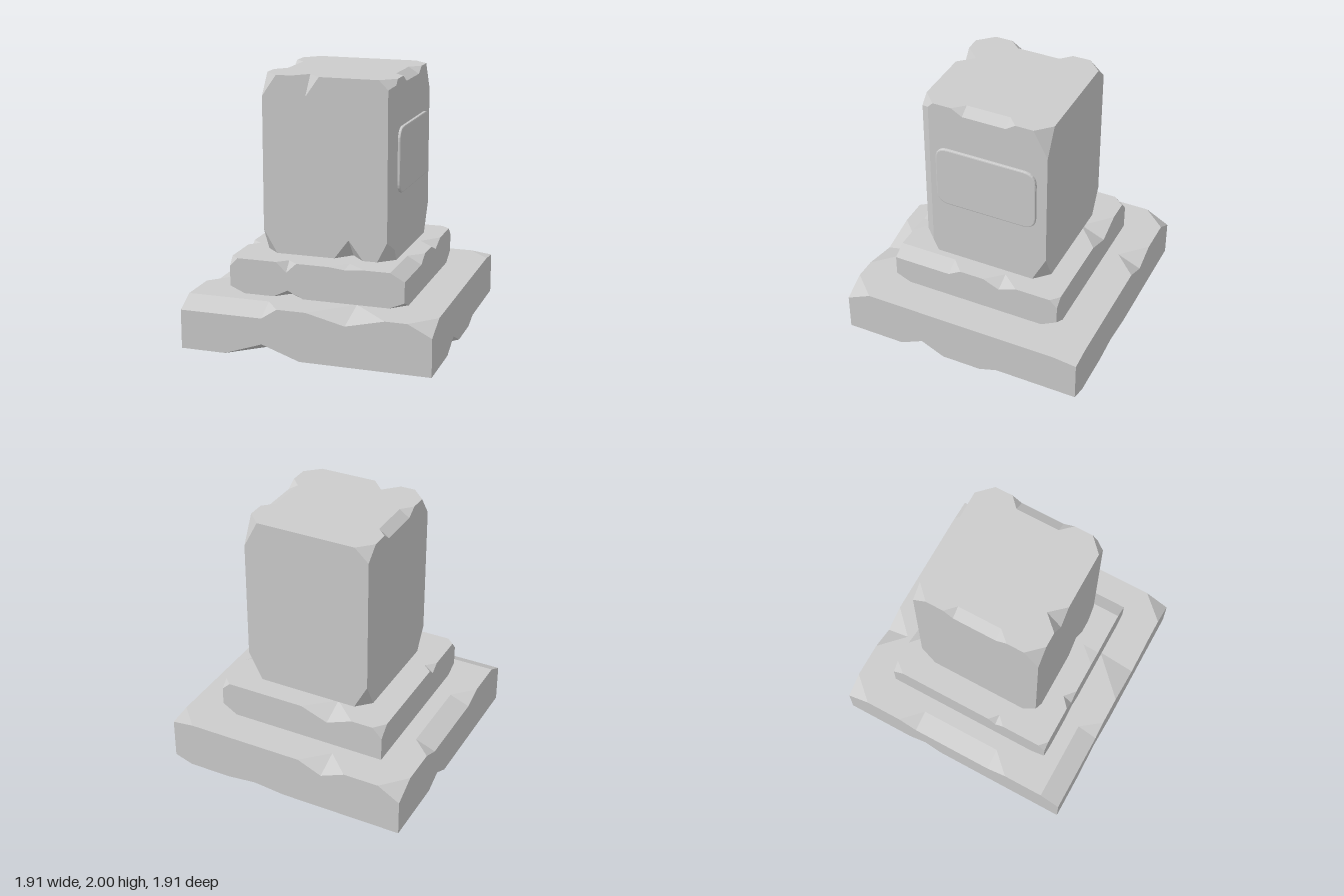
import * as THREE from 'three';

const stone = new THREE.MeshStandardMaterial({ color: 0xcccccc, flatShading: true });
const V = (a) => new THREE.Vector3(...a);

// Part of a convex polygon on the positive side of a plane
function clip(poly, plane) {
  const out = [];
  poly.forEach((p, i) => {
    const q = poly[(i + 1) % poly.length];
    const dp = plane.distanceToPoint(p), dq = plane.distanceToPoint(q);
    if (dp >= 0) out.push(p);
    if (dp * dq < 0) out.push(p.clone().lerp(q, dp / (dp - dq)));
  });
  return out.length > 2 ? out : [];
}
const clipAll = (poly, planes) => planes.reduce((p, pl) => (p.length ? clip(p, pl) : p), poly);

// Remove a convex region from a list of polygons
function subtract(polys, planes) {
  return polys.flatMap((poly) => {
    if (!clipAll(poly, planes).length) return [poly];
    const kept = [];
    let rest = poly;
    for (const pl of planes) {
      const outside = clip(rest, pl.clone().negate());
      if (outside.length) kept.push(outside);
      rest = clip(rest, pl);
    }
    return kept;
  });
}

// Large square lying on a plane, counter-clockwise about its normal
function sheet(plane) {
  const n = plane.normal, c = plane.coplanarPoint(V([0, 0, 0]));
  const u = (Math.abs(n.y) < 0.9 ? V([0, 1, 0]) : V([1, 0, 0])).cross(n).normalize();
  const v = n.clone().cross(u);
  return [[-5, -5], [5, -5], [5, 5], [-5, 5]].map(([a, b]) =>
    c.clone().addScaledVector(u, a).addScaledVector(v, b));
}

function planeThrough(a, b, c, inside) {
  const pl = new THREE.Plane().setFromCoplanarPoints(a, b, c);
  return pl.distanceToPoint(inside) < 0 ? pl.negate() : pl;
}

// Corner chip: side = signs of the corner, cut = length removed along each axis
const corner = (side, cut) => (min, max) => {
  const c = side.map((s, i) => (s > 0 ? max[i] : min[i]));
  const pts = [0, 1, 2].map((k) => V(c.map((x, i) => (i === k ? x - side[i] * cut[i] : x))));
  return [planeThrough(...pts, V(c))];
};

// Edge chip: side has 0 on the axis the edge runs along; cut = depth into both faces;
// it starts at a, is at full depth from t1 to t2, and ends at b
const notch = (side, cut, a, t1, t2, b) => (min, max) => {
  const k = side.indexOf(0), i = (k + 1) % 3, j = (k + 2) % 3;
  const at = (t, di, dj) => {
    const p = side.map((s, m) => (s > 0 ? max[m] : min[m]));
    p[k] = t;
    p[i] -= side[i] * cut[i] * di;
    p[j] -= side[j] * cut[j] * dj;
    return V(p);
  };
  const mid = at((t1 + t2) / 2, 0, 0);
  const planes = [
    planeThrough(at(a, 0, 0), at(t1, 1, 0), at(t1, 0, 1), mid),
    planeThrough(at(b, 0, 0), at(t2, 1, 0), at(t2, 0, 1), mid),
  ];
  if (t1 !== t2) planes.push(planeThrough(at(t1, 1, 0), at(t2, 1, 0), at(t1, 0, 1), mid));
  return planes;
};

// Box from min to max with all chips taken out
function chippedBlock(name, min, max, chips) {
  const walls = [0, 1, 2].flatMap((k) => [1, -1].map((s) => {
    const n = [0, 0, 0];
    n[k] = s;
    return new THREE.Plane(V(n), s > 0 ? -min[k] : max[k]);
  }));
  const cuts = chips.map((chip) => chip(min, max));
  const others = (list, x) => list.filter((y) => y !== x);
  let polys = walls.map((w) => clipAll(sheet(w), others(walls, w)).reverse());
  for (const c of cuts) polys = subtract(polys, c);
  for (const c of cuts) {
    for (const pl of c) {
      let faces = [clipAll(sheet(pl), [...others(c, pl), ...walls])].filter((f) => f.length);
      for (const o of others(cuts, c)) faces = subtract(faces, o);
      polys.push(...faces);
    }
  }
  const pts = polys.flatMap((p) => p.slice(2).flatMap((_, i) => [p[0], p[i + 1], p[i + 2]]));
  const geo = new THREE.BufferGeometry().setFromPoints(pts);
  geo.computeVertexNormals();
  const mesh = new THREE.Mesh(geo, stone);
  mesh.name = name;
  return mesh;
}

// Raised panel with rounded corners, facing +x
function plaque() {
  const w = 0.39, h = 0.237, r = 0.09;
  const s = new THREE.Shape();
  s.moveTo(-w + r, -h).lineTo(w - r, -h).quadraticCurveTo(w, -h, w, -h + r);
  s.lineTo(w, h - r).quadraticCurveTo(w, h, w - r, h);
  s.lineTo(-w + r, h).quadraticCurveTo(-w, h, -w, h - r);
  s.lineTo(-w, -h + r).quadraticCurveTo(-w, -h, -w + r, -h);
  const geo = new THREE.ExtrudeGeometry(s, {
    depth: 0.03, bevelThickness: 0.008, bevelSize: 0.01, bevelSegments: 2, curveSegments: 6,
  });
  geo.rotateY(Math.PI / 2).translate(0.508, 1.392, -0.033);
  const mesh = new THREE.Mesh(geo, stone);
  mesh.name = 'plaque';
  return mesh;
}

export function createModel() {
  const group = new THREE.Group();
  group.name = 'stonePedestal';

  // Wide bottom step
  group.add(chippedBlock('baseSlab', [-0.955, 0, -0.955], [0.955, 0.378, 0.955], [
    notch([0, 1, 1], [0, 0.08, 0.157], -3, -2, -0.32, -0.2),
    notch([0, 1, 1], [0, 0.07, 0.29], 0.02, 0.315, 0.315, 0.61),
    notch([0, -1, 1], [0, 0.1, 0.25], -0.61, -0.32, -0.32, -0.03),
    notch([0, 1, -1], [0, 0.08, 0.185], -0.51, -0.32, -0.32, -0.13),
    notch([0, -1, -1], [0, 0.025, 0.1], 0, 0.25, 0.25, 0.48),
    notch([-1, 1, 0], [0.155, 0.06, 0], -0.48, -0.33, 0.32, 0.48),
    notch([-1, -1, 0], [0.12, 0.07, 0], -0.41, -0.26, -0.26, -0.12),
    notch([1, -1, 0], [0.15, 0.087, 0], 0.14, 0.32, 0.32, 0.5),
    notch([1, -1, 0], [0.14, 0.047, 0], -3, -2, -0.31, -0.17),
    corner([1, 1, 1], [0.18, 0.09, 0.19]),
    corner([-1, 1, -1], [0.17, 0.1, 0.185]),
    corner([1, 1, -1], [0.17, 0.02, 0.18]),
  ]));

  // Middle step
  group.add(chippedBlock('middleSlab', [-0.675, 0.378, -0.675], [0.675, 0.645, 0.675], [
    notch([1, 1, 0], [0.11, 0.06, 0], 0.12, 0.22, 2, 3),
    notch([1, 1, 0], [0.12, 0.055, 0], -0.34, -0.2, -0.2, -0.07),
    notch([0, 1, 1], [0, 0.075, 0.07], -0.31, -0.23, -0.23, -0.15),
    notch([0, 1, 1], [0, 0.012, 0.13], 0.1, 0.22, 0.22, 0.38),
    notch([0, -1, 1], [0, 0.055, 0.1], -0.33, -0.22, -0.22, -0.1),
    notch([0, 1, -1], [0, 0.08, 0.19], -0.43, -0.225, -0.225, -0.01),
    notch([-1, 1, 0], [0.07, 0.05, 0], 0.18, 0.24, 0.24, 0.31),
    corner([-1, 1, 1], [0.06, 0.065, 0.055]),
    corner([-1, 1, -1], [0.075, 0.08, 0.09]),
    corner([1, 1, -1], [0.065, 0.06, 0.06]),
    corner([-1, -1, 1], [0.115, 0.05, 0.115]),
    corner([1, -1, 1], [0.115, 0.05, 0.115]),
    corner([1, -1, -1], [0.115, 0.07, 0.125]),
  ]));

  // Upright block
  group.add(chippedBlock('pillar', [-0.475, 0.655, -0.513], [0.525, 2, 0.485], [
    notch([1, 0, 1], [0.04, 0, 0.065], -3, -2, 4, 5),
    notch([0, 1, 1], [0, 0.15, 0.115], -0.25, -0.14, -0.14, -0.035),
    notch([0, -1, 1], [0, 0.147, 0.12], 0.08, 0.19, 0.19, 0.3),
    notch([1, 1, 0], [0.08, 0.05, 0], -0.265, -0.19, 0.15, 0.235),
    notch([-1, 1, 0], [0.078, 0.055, 0], -0.265, -0.19, 0.15, 0.235),
    corner([1, 1, 1], [0.11, 0.11, 0.105]),
    corner([-1, 1, 1], [0.11, 0.16, 0.115]),
    corner([1, 1, -1], [0.11, 0.21, 0.11]),
    corner([-1, 1, -1], [0.11, 0.1, 0.11]),
    corner([1, -1, 1], [0.115, 0.23, 0.105]),
    corner([-1, -1, 1], [0.105, 0.175, 0.105]),
    corner([1, -1, -1], [0.11, 0.215, 0.108]),
    corner([-1, -1, -1], [0.105, 0.2, 0.105]),
  ]));

  group.add(plaque());
  return group;
}
